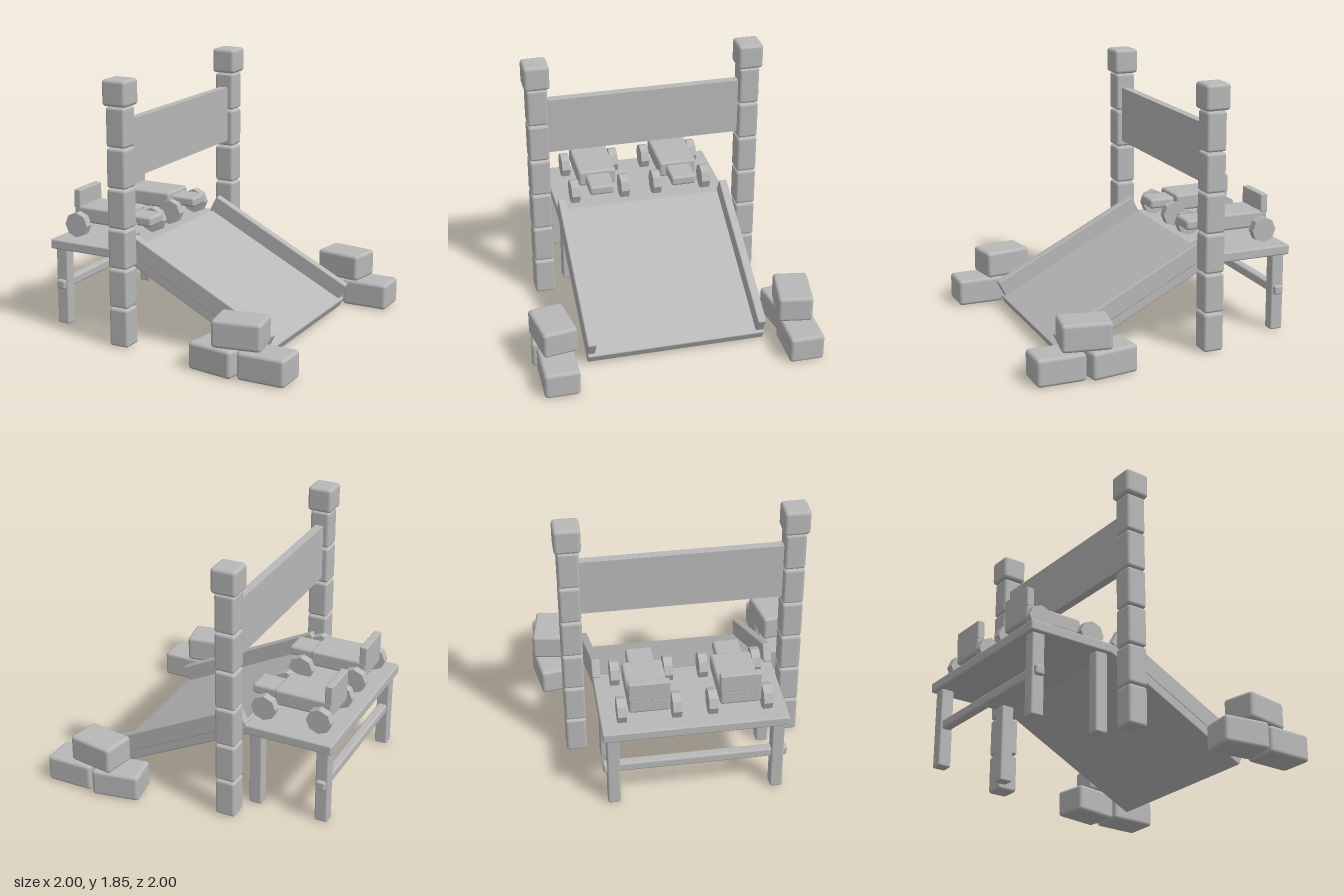
import * as THREE from 'three';
import { RoundedBoxGeometry } from 'three/addons/geometries/RoundedBoxGeometry.js';

export function createModel() {
  const model = new THREE.Group();
  model.name = 'rampAndTable';
  const grey = new THREE.MeshStandardMaterial({ color: 0xb8b8b8 });
  grey.name = 'plainGrey';

  const add = (parent, name, geometry, x, y, z) => {
    const mesh = new THREE.Mesh(geometry, grey);
    mesh.name = name;
    mesh.position.set(x, y, z);
    parent.add(mesh);
    return mesh;
  };
  // Soft-edged box given by its size, centre and edge radius
  const block = (parent, name, [w, h, d], [x, y, z], r = 0.02) =>
    add(parent, name, new RoundedBoxGeometry(w, h, d, 2, r), x, y, z);

  // Table with four legs and a crossbar poking through the outer pair
  const table = new THREE.Group();
  table.name = 'table';
  model.add(table);
  block(table, 'tableTop', [0.635, 0.07, 1.26], [-0.683, 0.595, 0], 0.012);
  for (const x of [-0.928, -0.44])
    for (const z of [-0.56, 0.56])
      block(table, 'tableLeg', [0.092, 0.56, 0.085], [x, 0.285, z], 0.012);
  block(table, 'crossbar', [0.066, 0.066, 1.26], [-0.928, 0.302, 0], 0.014);

  // Sloping ramp with side rails, built flat and then tilted
  const ramp = new THREE.Group();
  ramp.name = 'ramp';
  ramp.position.set(0.1775, 0.3625, 0);
  ramp.rotation.z = -Math.atan(0.507);
  model.add(ramp);
  block(ramp, 'rampPanel', [1.205, 0.076, 1.26], [0, -0.038, 0], 0.01);
  for (const z of [-0.603, 0.603])
    block(ramp, 'rampRail', [1.2, 0.13, 0.06], [-0.02, 0.052, z], 0.01);

  // Stacked pillars with caps, and the banner hung between them
  for (const side of [-1, 1]) {
    const pillar = new THREE.Group();
    pillar.name = side > 0 ? 'leftPillar' : 'rightPillar';
    model.add(pillar);
    for (let i = 0; i < 6; i++)
      block(pillar, 'pillarBlock', [0.145, 0.272, 0.145], [-0.32, 0.145 + i * 0.2775, side * 0.76]);
    block(pillar, 'pillarCap', [0.18, 0.18, 0.18], [-0.32, 1.762, side * 0.76], 0.025);
  }
  add(model, 'banner', new THREE.BoxGeometry(0.06, 0.405, 1.4), -0.32, 1.363, 0);

  // Two toy carts on the table
  const wheelGeometry = new THREE.CylinderGeometry(0.09, 0.09, 0.06, 8).toNonIndexed();
  wheelGeometry.computeVertexNormals();
  wheelGeometry.rotateX(Math.PI / 2);
  for (const z of [-0.305, 0.305]) {
    const cart = new THREE.Group();
    cart.name = 'cart';
    cart.position.z = z;
    model.add(cart);
    block(cart, 'cartBody', [0.42, 0.118, 0.278], [-0.71, 0.783, 0]);
    block(cart, 'cartBack', [0.055, 0.135, 0.278], [-0.893, 0.893, 0], 0.01);
    block(cart, 'cartNose', [0.21, 0.072, 0.182], [-0.42, 0.78, 0], 0.02);
    for (const x of [-0.857, -0.455])
      for (const dz of [-0.184, 0.184])
        add(cart, 'wheel', wheelGeometry, x, 0.722, dz);
  }

  // Mirrored piles of three blocks beside the foot of the ramp
  const pile = [
    { at: [0.827, 0.102, 0.855], turn: 0 },
    { at: [0.475, 0.102, 0.858], turn: -0.16 },
    { at: [0.63, 0.298, 0.853], turn: 0.17 },
  ];
  for (const side of [-1, 1])
    for (const { at: [x, y, z], turn } of pile)
      block(model, 'looseBlock', [0.34, 0.192, 0.245], [x, y, side * z], 0.025).rotation.y = side * turn;

  return model;
}
